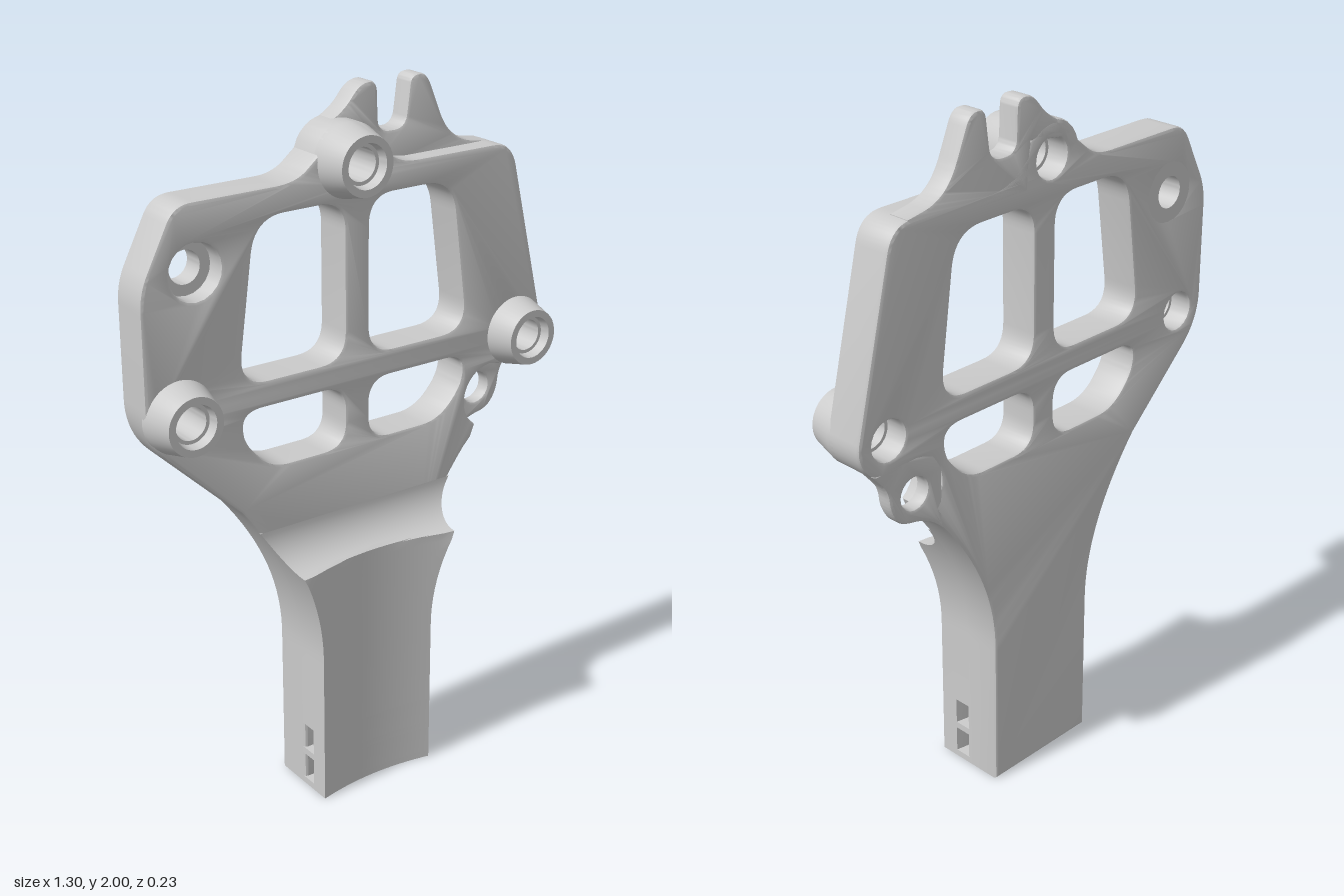
import * as THREE from 'three';
import { toCreasedNormals } from 'three/addons/utils/BufferGeometryUtils.js';

const BACK = -0.117, BEVEL = 0.01;
const mat = new THREE.MeshStandardMaterial({ color: 0xcccccc });

function add(group, name, geo) {
  const mesh = new THREE.Mesh(toCreasedNormals(geo, 0.5), mat);
  mesh.name = name;
  group.add(mesh);
  return mesh;
}

// Points along a circular arc, angles in degrees
function arc(cx, cy, r, a0, a1, n = 12) {
  return Array.from({ length: n + 1 }, (_, i) => {
    const a = THREE.MathUtils.degToRad(a0 + (a1 - a0) * i / n);
    return [cx + r * Math.cos(a), cy + r * Math.sin(a)];
  });
}

// Closed polygon; an optional third value rounds that corner
function rounded(points, path = new THREE.Shape()) {
  const v = points.map(p => new THREE.Vector2(p[0], p[1]));
  const n = v.length;
  v.forEach((p, i) => {
    const r = points[i][2] || 0;
    const toward = q => q.clone().sub(p).setLength(Math.min(r, q.distanceTo(p) * 0.48)).add(p);
    const a = r ? toward(v[(i + n - 1) % n]) : p;
    if (i) path.lineTo(a.x, a.y); else path.moveTo(a.x, a.y);
    if (r) {
      const b = toward(v[(i + 1) % n]);
      path.quadraticCurveTo(p.x, p.y, b.x, b.y);
    }
  });
  path.closePath();
  return path;
}

const hole = (x, y, r) => new THREE.Path().absarc(x, y, r, 0, Math.PI * 2, true);

// Slab from the back plane to zFront with softened edges
function slab(shape, zFront) {
  const geo = new THREE.ExtrudeGeometry(shape, {
    depth: zFront - BACK - 2 * BEVEL, curveSegments: 10,
    bevelThickness: BEVEL, bevelSize: BEVEL, bevelOffset: -BEVEL, bevelSegments: 2,
  });
  return geo.translate(0, 0, BACK + BEVEL);
}

function ringPart(profile, x, y) {
  const geo = new THREE.LatheGeometry(profile.map(p => new THREE.Vector2(...p)), 40);
  return geo.rotateX(Math.PI / 2).translate(x, y, 0);
}

// Half width of the flaring handle
const halfWidth = y => 0.187 + 0.855 * Math.max(0, y - 0.45) ** 2;

// Concave front of the handle, ending in a cove that runs into the plate
function frontZ(x, y) {
  const hollow = 0.077 + x * x / 1.6;
  if (y < 0.733) return hollow;
  const cove = 0.112 - Math.sqrt(Math.max(0, 0.112 ** 2 - (y - 0.845) ** 2));
  return Math.min(hollow, cove);
}

// Loft through horizontal sections between the front surface and backZ
function handleLoft(ys, backZ) {
  const N = 16, ring = 2 * (N + 1), pos = [], idx = [];
  for (const y of ys) {
    const xs = Array.from({ length: N + 1 }, (_, i) => halfWidth(y) * (2 * i / N - 1));
    xs.forEach(x => pos.push(x, y, frontZ(x, y)));
    xs.reverse().forEach(x => pos.push(x, y, backZ(x, y)));
  }
  for (let j = 0; j < ys.length - 1; j++) {
    for (let k = 0; k < ring; k++) {
      const a = j * ring + k, b = j * ring + (k + 1) % ring;
      idx.push(a, b, b + ring, a, b + ring, a + ring);
    }
  }
  const top = (ys.length - 1) * ring;
  for (let i = 0; i < N; i++) {
    const a = i, b = i + 1, c = ring - 2 - i, d = ring - 1 - i;
    idx.push(a, c, b, a, d, c);
    idx.push(top + a, top + b, top + c, top + a, top + c, top + d);
  }
  const geo = new THREE.BufferGeometry();
  geo.setAttribute('position', new THREE.Float32BufferAttribute(pos, 3));
  geo.setIndex(idx);
  return geo;
}

export function createModel() {
  const group = new THREE.Group();
  group.name = 'mountingBracket';
  const bosses = [[-0.025, 1.82], [-0.55, 1.24], [0.55, 1.24]];

  // Main plate with the back of the handle
  const flare = [0];
  for (let i = 0; i <= 16; i++) flare.push(0.44 + i * 0.03);
  const plate = rounded([
    ...flare.map(y => [halfWidth(y), y]),
    [0.4, 0.945],
    ...arc(0.47, 1.06, 0.095, 235, 95),
    ...arc(0.55, 1.24, 0.1, -100, 12),
    [0.52, 1.79, 0.07], [0.14, 1.79, 0.06],
    ...arc(-0.025, 1.82, 0.1, 15, 165),
    [-0.19, 1.79, 0.06], [-0.545, 1.79, 0.05],
    [-0.65, 1.585, 0.05], [-0.65, 1.185, 0.09],
    ...flare.slice().reverse().map(y => [-halfWidth(y), y]),
  ]);

  // Four windows, mirrored in pairs
  for (const s of [-1, 1]) {
    const upper = [[0.04, 1.715, 0.08], [0.313, 1.715, 0.09], [0.372, 1.28, 0.09], [0.04, 1.28, 0.08]];
    const lower = [[0.04, 1.205, 0.07], [0.362, 1.205, 0.06], [0.362, 1.12, 0.05],
      [0.28, 1.03, 0.06], [0.04, 1.03, 0.07]];
    for (const w of [upper, lower]) {
      plate.holes.push(rounded(w.map(([x, y, r]) => [s * x, y, r]), new THREE.Path()));
    }
  }
  bosses.forEach(([x, y]) => plate.holes.push(hole(x, y, 0.055)));
  plate.holes.push(hole(-0.49, 1.61, 0.075));
  add(group, 'plate', slab(plate, 0));

  // Thinner forked tab on the top edge
  const tab = rounded([
    [0.06, 1.75], [0.47, 1.75], [0.47, 1.79], [0.38, 1.805, 0.04], [0.325, 1.85, 0.05],
    [0.262, 2, 0.035], [0.208, 2, 0.025], [0.19, 1.865, 0.035], [0.105, 1.865, 0.035],
    [0.1, 2, 0.03], [0.045, 2, 0.04], [-0.005, 1.94, 0.03], [-0.1, 1.885], [-0.09, 1.86], [0.05, 1.88],
  ]);
  add(group, 'forkTab', slab(tab, -0.05));

  // Thin lug beside the lower boss
  const lug = rounded([
    [0.375, 0.92], [0.41, 0.95, 0.02], [0.455, 0.972, 0.02], [0.52, 0.985, 0.035], [0.553, 1.035, 0.03],
    [0.56, 1.1, 0.03], [0.61, 1.16], [0.5, 1.17], [0.4, 1.15], [0.375, 1.1],
  ]);
  lug.holes.push(hole(0.47, 1.06, 0.045));
  add(group, 'sideLug', slab(lug, -0.07));

  // Tapered standoffs with stepped bores
  const bossProfile = [[0.1, -0.02], [0.1, 0], [0.08, 0.078], [0.06, 0.078], [0.055, 0.05],
    [0.045, 0.05], [0.045, -0.05], [0.06, -0.05]];
  bosses.forEach(([x, y]) => add(group, 'standoff', ringPart(bossProfile, x, y)));

  // Floor of the counterbored hole
  add(group, 'counterboreFloor',
    ringPart([[0.085, -0.055], [0.045, -0.055], [0.045, BACK], [0.086, BACK]], -0.49, 1.61));

  // Handle front: solid bands, with two strap slots left open behind thin bridges
  const solid = () => -BEVEL - 0.002;
  const bridge = (x, y) => frontZ(x, y) - 0.055;
  const upperRows = [0.2, 0.44];
  for (let y = 0.47; y < 0.73; y += 0.03) upperRows.push(y);
  for (let i = 0; i <= 16; i++) upperRows.push(0.733 + 0.112 * (i / 16) ** 1.6);
  add(group, 'handleFront', handleLoft(upperRows, solid));
  for (const y of [[0, 0.02], [0.1, 0.12]]) add(group, 'handleBand', handleLoft(y, solid));
  for (const y of [[0.02, 0.1], [0.12, 0.2]]) add(group, 'slotBridge', handleLoft(y, bridge));

  return group;
}
